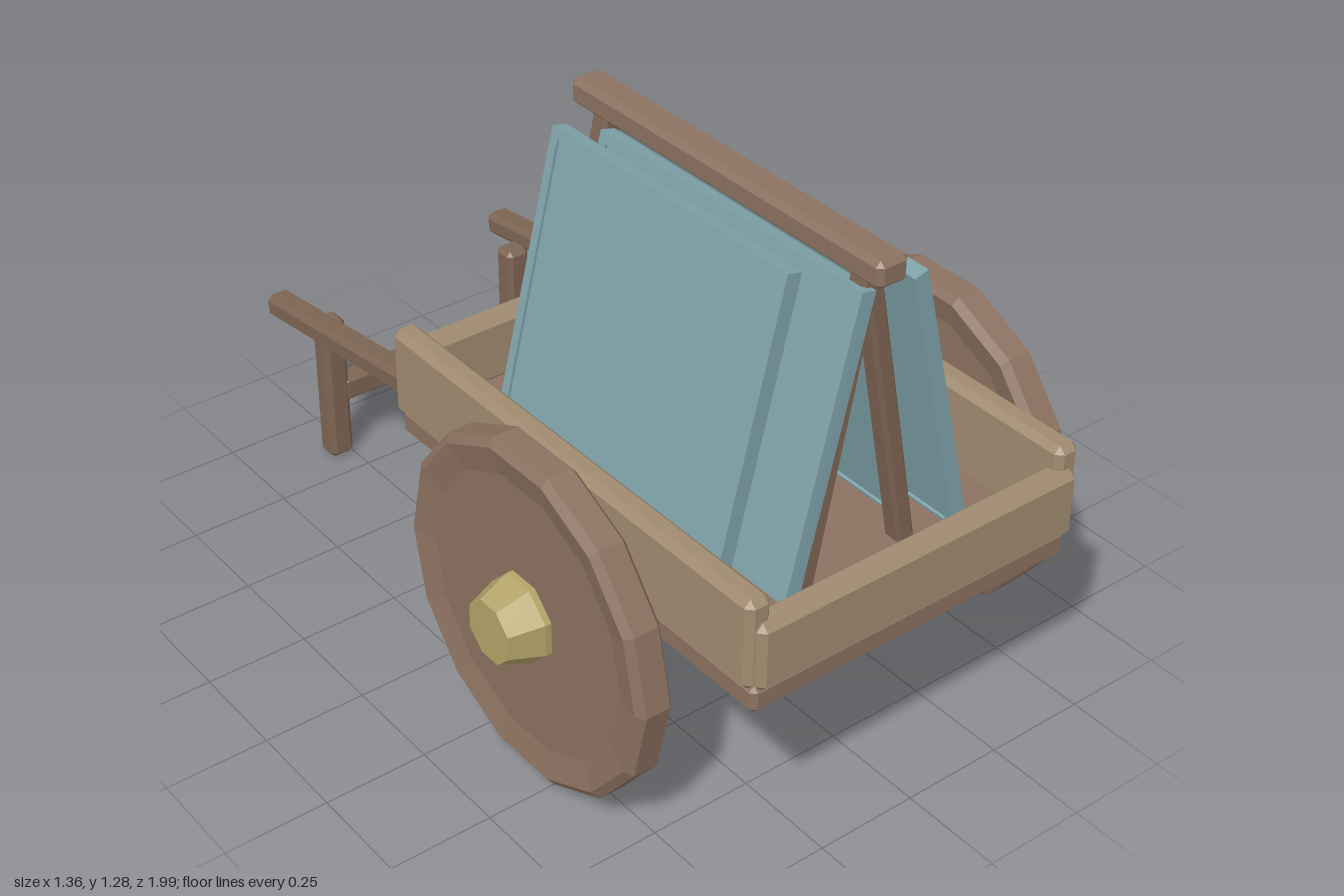
import * as THREE from 'three';
import { ConvexGeometry } from 'three/addons/geometries/ConvexGeometry.js';

const paint = (color) => new THREE.MeshStandardMaterial({ color, flatShading: true });
const WOOD = paint(0x8c7160);
const WALL = paint(0xa08a70);
const DARK = paint(0x7d6553);
const GLASS = paint(0x7fa3aa);
const BRASS = paint(0xb3a468);

// Box with every edge chamfered
function chamferBox(w, h, d, c = 0.013) {
  const points = [];
  for (const sx of [-1, 1]) for (const sy of [-1, 1]) for (const sz of [-1, 1]) {
    for (let axis = 0; axis < 3; axis++) {
      const inset = [c, c, c];
      inset[axis] = 0;
      points.push(new THREE.Vector3(
        sx * (w / 2 - inset[0]), sy * (h / 2 - inset[1]), sz * (d / 2 - inset[2])));
    }
  }
  return new ConvexGeometry(points);
}

// Chamfered beam spanning the given x, y and z ranges
function beam(name, material, [x0, x1], [y0, y1], [z0, z1], c) {
  const mesh = new THREE.Mesh(chamferBox(x1 - x0, y1 - y0, z1 - z0, c), material);
  mesh.position.set((x0 + x1) / 2, (y0 + y1) / 2, (z0 + z1) / 2);
  mesh.name = name;
  return mesh;
}

// Range mirrored to the given side of x = 0
const mirror = (side, a, b) => (side > 0 ? [a, b] : [-b, -a]);

// Faceted solid of revolution around the x axis
function turned(name, material, profile, sides, phase = 0) {
  const points = profile.map(([r, x]) => new THREE.Vector2(r, x));
  const geometry = new THREE.LatheGeometry(points, sides, phase);
  geometry.rotateZ(-Math.PI / 2);
  const mesh = new THREE.Mesh(geometry, material);
  mesh.name = name;
  return mesh;
}

// Solid wheel with a dished face, and its hub cap
function wheel(side) {
  const group = new THREE.Group();
  group.name = side > 0 ? 'leftWheel' : 'rightWheel';
  group.add(turned('wheelDisc', WOOD, [
    [0, -0.03], [0.33, -0.03], [0.395, -0.045], [0.415, -0.03],
    [0.415, 0.03], [0.395, 0.045], [0.33, 0.03], [0, 0.03],
  ], 14));
  const hub = turned('hub', BRASS,
    [[0, 0.02], [0.103, 0.02], [0.103, 0.045], [0.075, 0.122], [0, 0.122]], 8, Math.PI / 8);
  group.add(hub);
  group.position.set(side * 0.56, 0.42, 0.42);
  if (side < 0) group.rotation.y = Math.PI;
  return group;
}

// Leaning glass sheet with a thin raised rim
function glassPanel(name, side, topX, z0, z1) {
  const height = 0.72, length = z1 - z0, rim = 0.024, thick = 0.038;
  const group = new THREE.Group();
  group.name = name;
  const rect = (shape, w, h) => shape.moveTo(-w / 2, -h / 2).lineTo(w / 2, -h / 2)
    .lineTo(w / 2, h / 2).lineTo(-w / 2, h / 2).closePath();
  const outline = rect(new THREE.Shape(), length, height);
  outline.holes.push(rect(new THREE.Path(), length - 2 * rim, height - 2 * rim));
  const frame = new THREE.ExtrudeGeometry(outline, { depth: thick, bevelEnabled: false });
  frame.translate(0, 0, -thick / 2).rotateY(Math.PI / 2);
  const frameMesh = new THREE.Mesh(frame, GLASS);
  frameMesh.name = 'glassRim';
  const pane = new THREE.Mesh(
    new THREE.BoxGeometry(thick - 0.014, height - 2 * rim, length - 2 * rim), GLASS);
  pane.name = 'glassPane';
  group.add(frameMesh, pane);
  const lean = Math.atan(0.245);
  group.rotation.z = side * lean;
  group.position.set(
    side * (topX + Math.sin(lean) * height / 2), 1.195 - Math.cos(lean) * height / 2, (z0 + z1) / 2);
  return group;
}

export function createModel() {
  const cart = new THREE.Group();
  cart.name = 'handCart';

  // Bed and walls
  cart.add(
    beam('floor', WOOD, [-0.435, 0.435], [0.44, 0.507], [-0.275, 0.975]),
    beam('frontWall', WALL, [-0.435, 0.435], [0.505, 0.672], [0.93, 0.995], 0.016),
    beam('backWall', WALL, [-0.435, 0.435], [0.505, 0.672], [-0.295, -0.23], 0.016),
  );

  for (const side of [-1, 1]) {
    const label = side > 0 ? 'left' : 'right';
    cart.add(beam(label + 'Wall', WALL, mirror(side, 0.388, 0.452), [0.505, 0.727], [-0.275, 0.975], 0.016));
    cart.add(wheel(side));

    // Sloping pull handle
    const handle = new THREE.Mesh(chamferBox(0.066, 0.06, 0.855), DARK);
    handle.name = label + 'Handle';
    handle.position.set(side * 0.335, 0.452, -0.573);
    handle.rotation.x = -0.133;
    cart.add(handle);

    // Prop leg
    cart.add(beam(label + 'Leg', DARK, mirror(side, 0.247, 0.313), [0, 0.403], [-0.878, -0.815]));

    // Rack posts, crossing under the ridge
    for (const z of [-0.065, 0.77]) {
      const post = new THREE.Mesh(chamferBox(0.046, 0.74, 0.05, 0.008), DARK);
      post.name = label + 'RackPost';
      post.position.set(side * 0.072, 0.855, z);
      post.rotation.z = side * 0.195;
      cart.add(post);
    }
  }

  // Bar between the prop legs, and the rack's ridge
  cart.add(
    beam('legBar', DARK, [-0.26, 0.26], [0.155, 0.218], [-0.875, -0.818], 0.008),
    beam('rackRidge', WOOD, [-0.041, 0.041], [1.213, 1.278], [-0.148, 0.85]),
  );

  // Glass sheets leaning on each side of the rack
  cart.add(
    glassPanel('leftInnerGlass', 1, 0.027, -0.11, 0.72),
    glassPanel('leftOuterGlass', 1, 0.097, -0.01, 0.825),
    glassPanel('rightInnerGlass', -1, 0.027, -0.03, 0.81),
    glassPanel('rightOuterGlass', -1, 0.097, -0.11, 0.67),
  );
  return cart;
}
